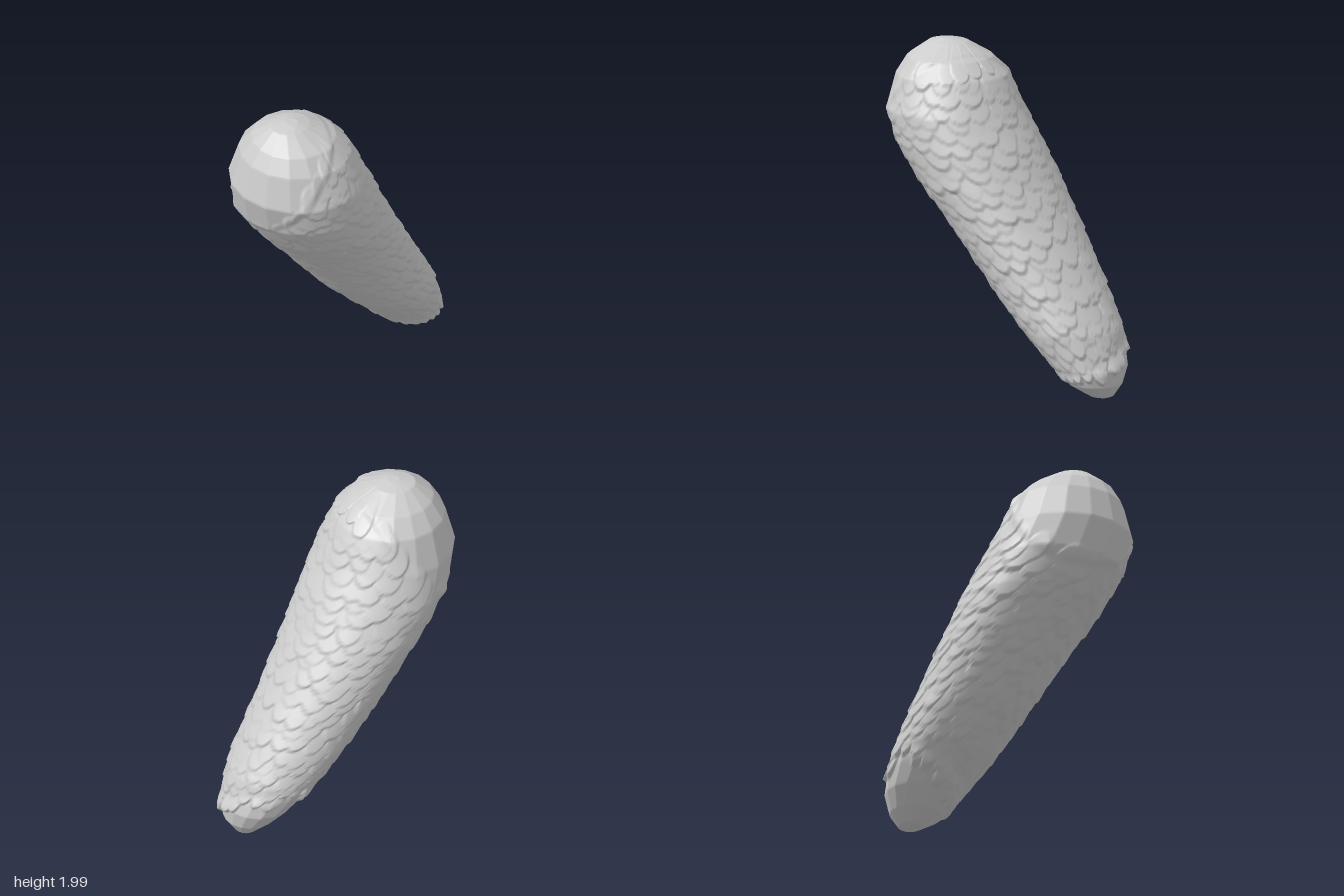
import * as THREE from 'three';

// Level sections of the leaning body: [y, xMin, xMax, zMin, zMax]
const SECTIONS = [
  [0.01, -0.18, -0.18, -0.65, -0.65],
  [0.03, -0.24, -0.1, -0.71, -0.58],
  [0.1, -0.31, 0.01, -0.76, -0.47],
  [0.2, -0.38, 0.08, -0.77, -0.355],
  [0.4, -0.445, 0.165, -0.71, -0.13],
  [0.6, -0.458, 0.215, -0.595, 0.06],
  [0.8, -0.46, 0.27, -0.475, 0.225],
  [1.0, -0.46, 0.33, -0.355, 0.39],
  [1.2, -0.45, 0.395, -0.24, 0.56],
  [1.4, -0.415, 0.438, -0.135, 0.71],
  [1.6, -0.36, 0.453, -0.025, 0.765],
  [1.8, -0.28, 0.385, 0.07, 0.715],
  [1.9, -0.19, 0.31, 0.16, 0.655],
  [1.98, -0.06, 0.16, 0.31, 0.55],
  [2.0, 0.03, 0.1, 0.39, 0.46],
  [2.0, 0.06, 0.06, 0.42, 0.42],
];
const FACETS = 16;          // sides of the plain ends
const AROUND = 16 * 15;     // fine mesh around
const STEPS = 16;           // fine mesh rows per section
const COLS = 20;            // scales per row
const ROW_H = 0.07;         // height of a scale row
const DEPTH = 0.03;         // scale relief

const hash = (a, b) => {
  const s = Math.sin(a * 127.1 + b * 311.7) * 43758.5453;
  return s - Math.floor(s);
};

function sectionAt(v) {
  const k = Math.min(Math.floor(v), SECTIONS.length - 2);
  return SECTIONS[k].map((n, i) => THREE.MathUtils.lerp(n, SECTIONS[k + 1][i], v - k));
}

// Point on a section: round, or chorded to a polygon
function pointOn([y, x0, x1, z0, z1], turn, polygonal) {
  const at = (t) => [Math.sin(t * 2 * Math.PI), Math.cos(t * 2 * Math.PI)];
  let [s, c] = at(turn);
  if (polygonal > 0) {
    const k = Math.floor(turn * FACETS + 1e-6), f = turn * FACETS - k;
    const p = at(k / FACETS), q = at((k + 1) / FACETS);
    s += (p[0] + (q[0] - p[0]) * f - s) * polygonal;
    c += (p[1] + (q[1] - p[1]) * f - c) * polygonal;
  }
  return new THREE.Vector3((x0 + x1) / 2 + s * (x1 - x0) / 2, y, (z0 + z1) / 2 + c * (z1 - z0) / 2);
}

// Positive on the scaly part, negative on the two plain ends
function scalyness(p) {
  const top = 1.78 - (p.z - 0.31 * p.x + 0.82 * p.y);
  const bottom = p.y + 0.4 * p.x - 0.17;
  return Math.min(top, bottom);
}

// Section index for a height, used to locate scale centres
function levelOf(y) {
  for (let k = 0; k < SECTIONS.length - 2; k++) {
    if (y <= SECTIONS[k + 1][0]) return k + Math.max(0, (y - SECTIONS[k][0]) / (SECTIONS[k + 1][0] - SECTIONS[k][0]));
  }
  return SECTIONS.length - 2;
}

// Staggered, irregular scales; each one is null where the body is plain
function makeScales() {
  const scales = [];
  for (let r = 0; r * ROW_H < 2.1; r++) {
    scales.push([]);
    for (let c = 0; c < COLS; c++) {
      const u = c + (r % 2) * 0.5 + (hash(r, c) - 0.5) * 0.45;
      const y = (r + (hash(c + 50, r) - 0.5) * 0.6) * ROW_H;
      const p = pointOn(sectionAt(levelOf(y)), (u / COLS + 1) % 1, 0);
      scales[r].push(scalyness(p) > 0.01 ? { u, y, w: 0.6 + hash(r + 9, c) * 0.2, t: 0.7 + hash(r, c + 31) * 0.4 } : null);
    }
  }
  return scales;
}

// Each scale thickens toward its lower rounded rim, the highest wins
function relief(scales, turn, y) {
  const row = Math.round(y / ROW_H), col = Math.floor(turn * COLS);
  let height = 0;
  for (let r = row - 2; r <= row + 2; r++) {
    if (!scales[r]) continue;
    for (let c = col - 2; c <= col + 2; c++) {
      const s = scales[r][(c + COLS) % COLS];
      if (!s) continue;
      let du = turn * COLS - s.u;
      du -= Math.round(du / COLS) * COLS;
      const dy = (y - s.y) / (ROW_H * 1.35), d = Math.hypot(du / s.w, dy);
      if (d >= 1) continue;
      const rim = Math.min(1, (1 - d) / 0.15);
      height = Math.max(height, DEPTH * s.t * rim * (0.5 - 0.45 * dy));
    }
  }
  return height;
}

function bodyGeometry() {
  const scales = makeScales();
  const rows = (SECTIONS.length - 1) * STEPS;
  const positions = [], index = [];
  for (let j = 0; j <= rows; j++) {
    const section = sectionAt(j / STEPS);
    const [y, x0, x1, z0, z1] = section;
    for (let i = 0; i < AROUND; i++) {
      const turn = i / AROUND;
      const round = pointOn(section, turn, 0);
      const scaly = THREE.MathUtils.smoothstep(scalyness(round), -0.03, 0.05);
      const p = pointOn(section, turn, 1 - scaly);
      const out = new THREE.Vector3(p.x - (x0 + x1) / 2, 0, p.z - (z0 + z1) / 2).normalize();
      p.addScaledVector(out, relief(scales, turn, y) - 0.02 * scaly);
      positions.push(p.x, p.y, p.z);
      if (j < rows) {
        const a = j * AROUND + i, b = j * AROUND + (i + 1) % AROUND;
        index.push(a, b, b + AROUND, a, b + AROUND, a + AROUND);
      }
    }
  }
  const g = new THREE.BufferGeometry();
  g.setAttribute('position', new THREE.Float32BufferAttribute(positions, 3));
  g.setIndex(index);
  g.computeVertexNormals();
  return g;
}

export function createModel() {
  const group = new THREE.Group();
  group.name = 'scalyPod';
  const body = new THREE.Mesh(bodyGeometry(), new THREE.MeshStandardMaterial({ color: 0xcccccc }));
  body.name = 'scalyBody';
  group.add(body);
  return group;
}
